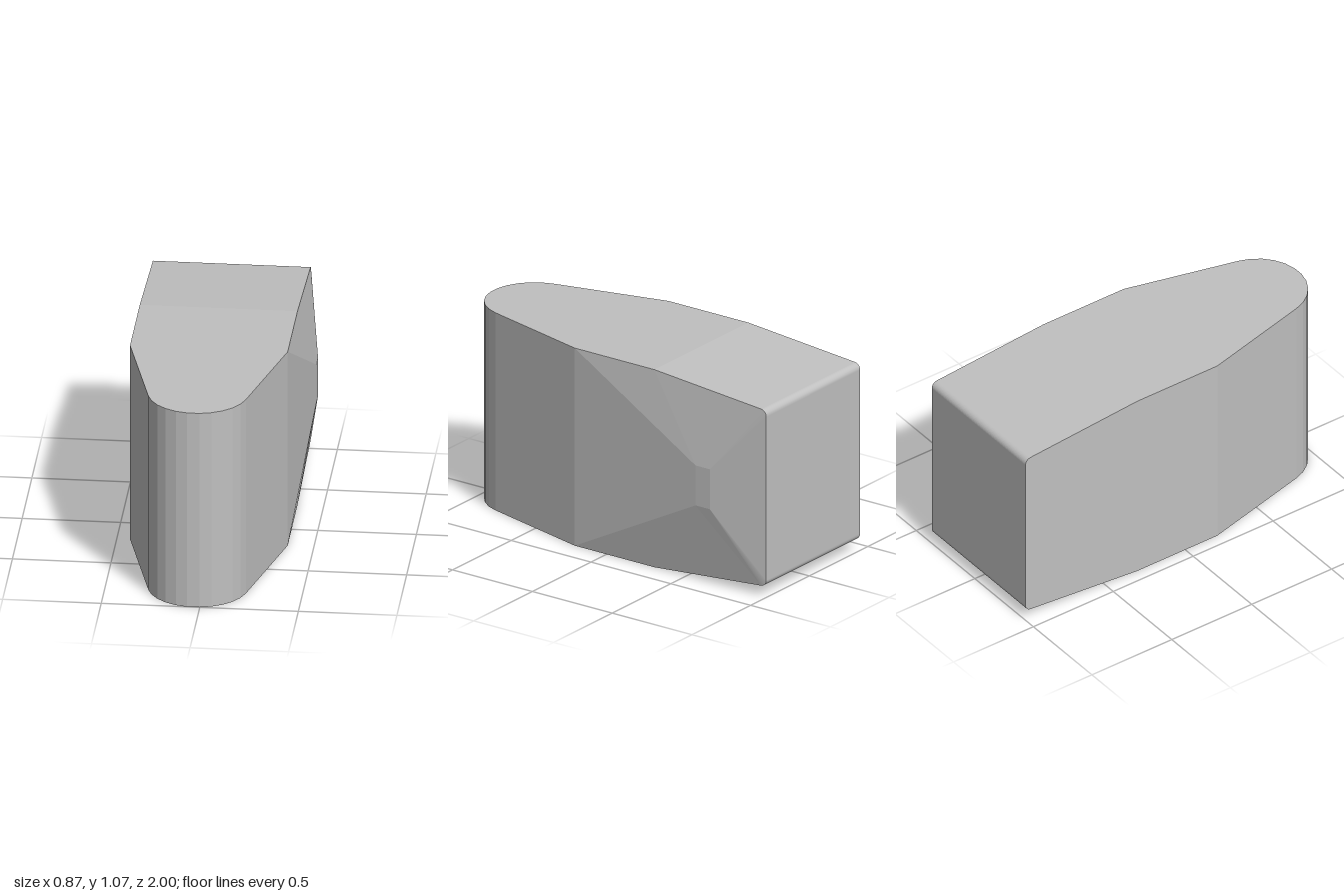
import * as THREE from 'three';

const H = 1.073;          // full height
const CX = -0.033;        // body centre line
const BUMP_X = 0.432;     // outermost x of the side bulge

// Collects flat triangles; each face is turned to point along its outward hint.
function faceBuilder() {
  const pos = [];
  const a = new THREE.Vector3(), b = new THREE.Vector3();
  return {
    face(hint, ...pts) {
      for (let i = 1; i < pts.length - 1; i++) {
        const [p, q, r] = [pts[0], pts[i], pts[i + 1]];
        a.subVectors(q, p);
        b.subVectors(r, p);
        const out = a.cross(b).dot(hint) >= 0;
        for (const v of out ? [p, q, r] : [p, r, q]) pos.push(v.x, v.y, v.z);
      }
    },
    geometry() {
      const g = new THREE.BufferGeometry();
      g.setAttribute('position', new THREE.Float32BufferAttribute(pos, 3));
      g.computeVertexNormals();
      return g;
    },
  };
}

const V = (x, y, z) => new THREE.Vector3(x, y, z);
const UP = V(0, 1, 0), DOWN = V(0, -1, 0), LEFT = V(1, 0, 0), RIGHT = V(-1, 0, 0);
const FRONT = V(0, 0, 1), BACK = V(0, 0, -1);

// Rectangular cross-sections from front to back: z, half width, top and bottom inset
function makeStations() {
  const list = [];
  // Faceted round nose
  const r = 0.255, step = 2 * 1.326 / 11;
  for (let k = 0; k < 6; k++) {
    const t = step * (k + 0.5);
    list.push({ z: 0.746 + r * Math.cos(t), w: r * Math.sin(t), inset: 0 });
  }
  // Straight body and slightly tapering rear
  list.push({ z: 0.2, w: 0.4, inset: 0 }, { z: -0.3, w: 0.4, inset: 0 });
  // Rounded rear edges
  const slope = 0.0855, f = 0.035;
  for (let k = 0; k <= 10; k++) {
    const t = slope + (Math.PI / 2 - slope) * k / 10;
    list.push({ z: -1 + f - f * Math.sin(t), w: 0.4, inset: 0.092 - f * Math.cos(t) });
  }
  return list;
}

export function createModel() {
  const group = new THREE.Group();
  group.name = 'taperedBlock';
  const grey = new THREE.MeshStandardMaterial({ color: 0xc0c0c0 });
  grey.name = 'lightGrey';

  const sections = makeStations().map(({ z, w, inset }) => ({
    z,
    lt: V(CX + w, H - inset, z), lb: V(CX + w, inset, z),
    rt: V(CX - w, H - inset, z), rb: V(CX - w, inset, z),
  }));
  const first = sections[0], last = sections[sections.length - 1];

  // Main body, left open where the bulge covers its side
  const body = faceBuilder();
  body.face(FRONT, first.lt, first.rt, first.rb, first.lb);
  body.face(BACK, last.lt, last.rt, last.rb, last.lb);
  // Raised bulge on the left side
  const bulge = faceBuilder();
  const at = V(BUMP_X, 0.645, -0.605), bt = V(BUMP_X, 0.645, -0.695);
  const ab = V(BUMP_X, 0.428, -0.605), bb = V(BUMP_X, 0.428, -0.695);

  for (let i = 0; i < sections.length - 1; i++) {
    const s = sections[i], n = sections[i + 1];
    body.face(UP, s.lt, s.rt, n.rt, n.lt);
    body.face(DOWN, s.lb, s.rb, n.rb, n.lb);
    body.face(RIGHT, s.rt, s.rb, n.rb, n.rt);
    if (s.z > 0.21) {
      body.face(LEFT, s.lt, s.lb, n.lb, n.lt);
    } else if (s.z > -0.29) {
      bulge.face(LEFT, at, s.lt, n.lt);
      bulge.face(LEFT, ab, s.lb, n.lb);
      bulge.face(LEFT, s.lt, s.lb, ab, at);
    } else if (s.z > -0.31) {
      bulge.face(LEFT, at, s.lt, n.lt, bt);
      bulge.face(LEFT, ab, s.lb, n.lb, bb);
    } else {
      bulge.face(LEFT, bt, s.lt, n.lt);
      bulge.face(LEFT, bb, s.lb, n.lb);
    }
  }
  bulge.face(LEFT, at, ab, bb, bt);
  bulge.face(LEFT, last.lt, last.lb, bb, bt);

  for (const [name, builder] of [['body', body], ['sideBulge', bulge]]) {
    const mesh = new THREE.Mesh(builder.geometry(), grey);
    mesh.name = name;
    group.add(mesh);
  }
  return group;
}
